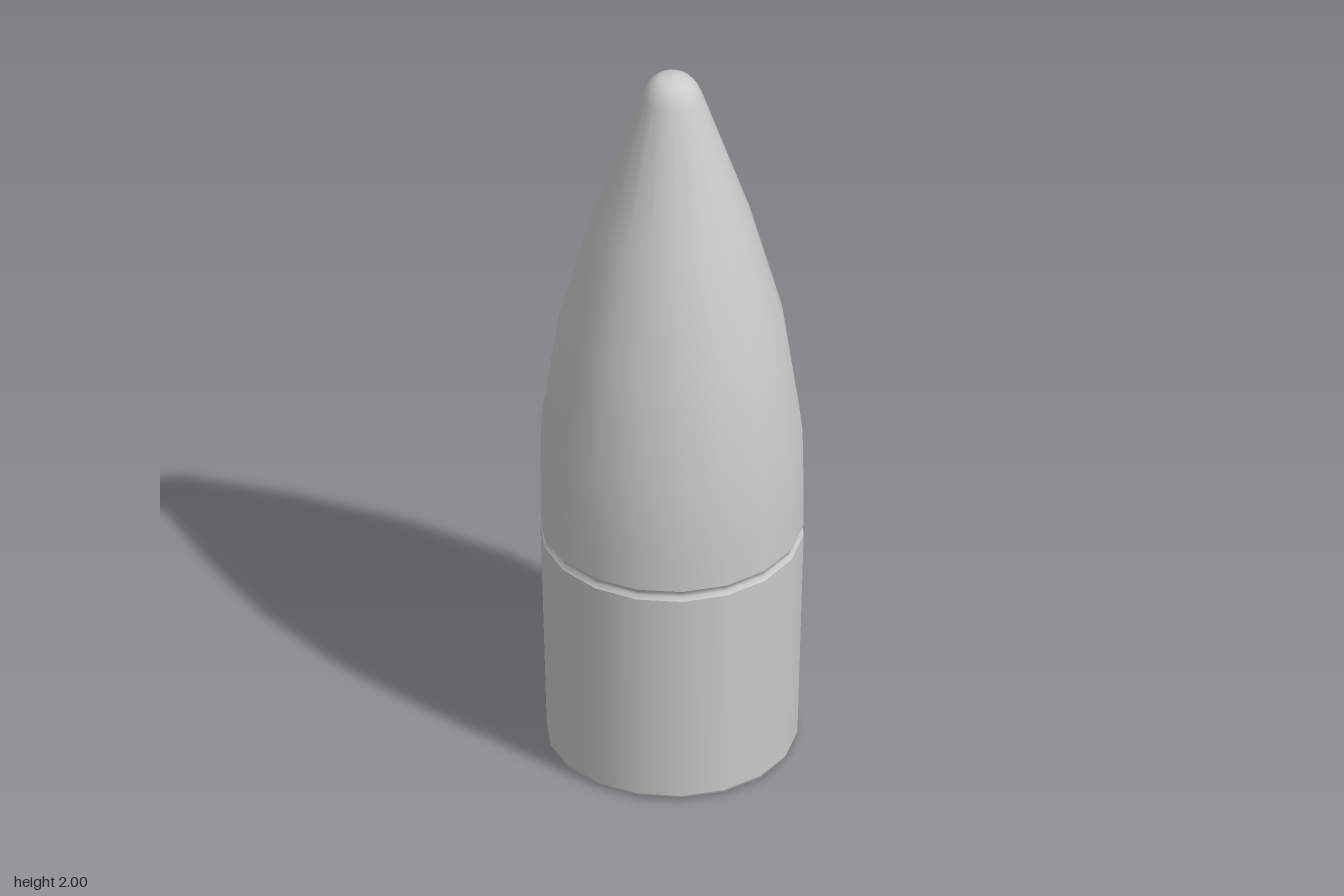
import * as THREE from 'three';

const SIDES = 18;

export function createModel() {
  const group = new THREE.Group();
  group.name = 'projectile';
  const material = new THREE.MeshStandardMaterial({ color: 0xcccccc });

  // Turned part from [radius, height] pairs, listed bottom to top
  const turned = (name, profile) => {
    const points = profile.map(([r, y]) => new THREE.Vector2(r, y));
    const mesh = new THREE.Mesh(new THREE.LatheGeometry(points, SIDES, Math.PI / 2), material);
    mesh.name = name;
    group.add(mesh);
  };

  // Flat underside with a shallow central dimple
  turned('base', [[0, 0.02], [0.05, 0.015], [0.08, 0.006], [0.1, 0.002], [0.2, 0.001], [0.308, 0]]);
  // Small bevel around the foot
  turned('baseRim', [[0.308, 0], [0.315, 0.004], [0.318, 0.014]]);
  // Slightly tapered lower body
  turned('lowerBody', [[0.318, 0.014], [0.326, 0.32], [0.334, 0.618]]);
  // Narrow groove around the body
  turned('groove', [[0.334, 0.618], [0.327, 0.628], [0.327, 0.638], [0.334, 0.648]]);
  // Curved nose ending in a rounded tip
  turned('nose', [
    [0.334, 0.648], [0.334, 0.75], [0.331, 0.94], [0.287, 1.25], [0.201, 1.57],
    [0.077, 1.94], [0.066, 1.965], [0.05, 1.985], [0.03, 1.997], [0, 2],
  ]);

  return group;
}
